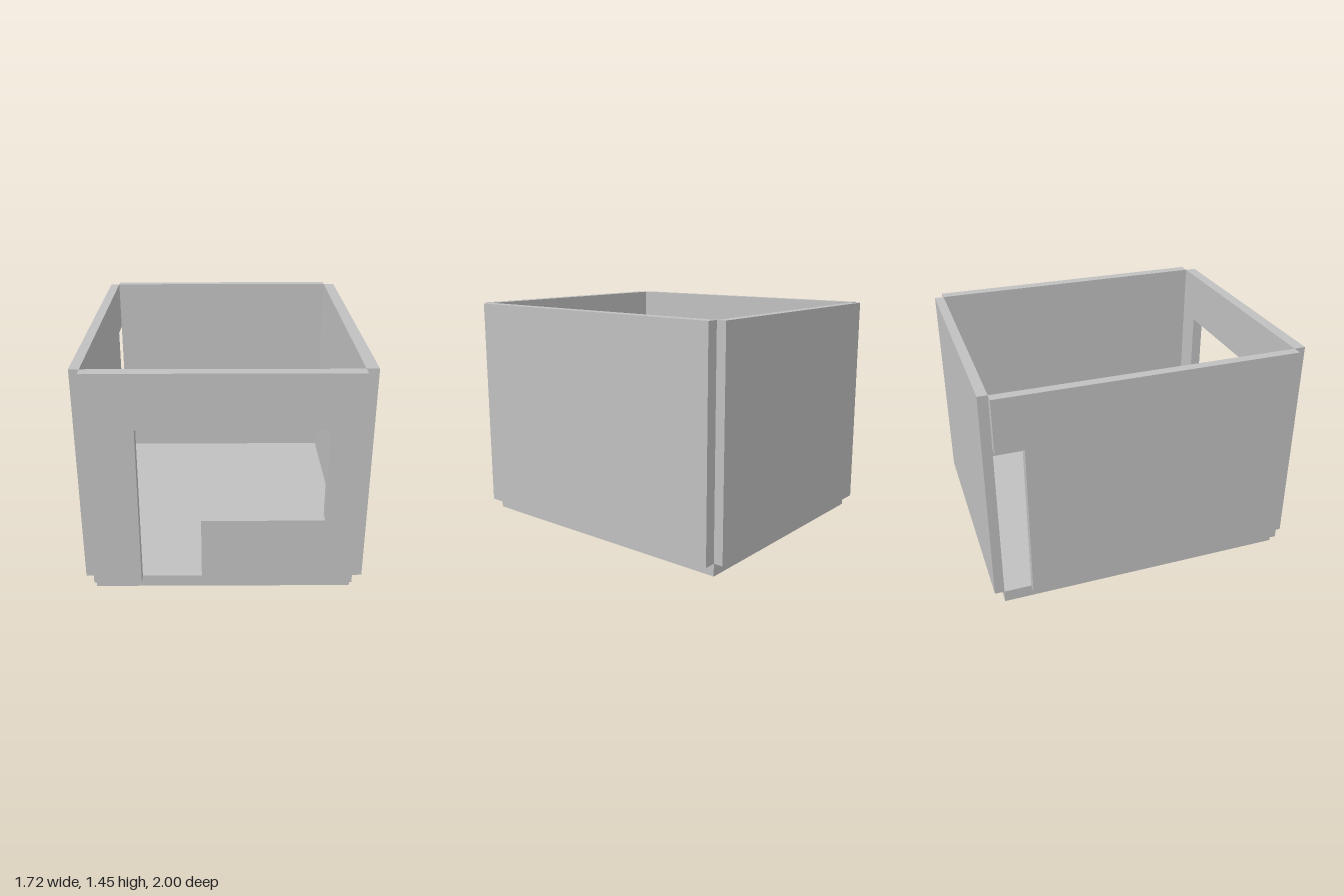
import * as THREE from 'three';

export function createModel() {
  const model = new THREE.Group();
  model.name = 'openRoom';
  const grey = new THREE.MeshStandardMaterial({ name: 'lightGrey', color: 0xc0c0c0 });

  // Floor and wall limits
  const x0 = -0.8, x1 = 0.784, z0 = -0.94, z1 = 0.928;
  const bottom = 0.078, top = 1.452, doorTop = 1.112;

  function box(name, ax, bx, ay, by, az, bz) {
    const mesh = new THREE.Mesh(new THREE.BoxGeometry(bx - ax, by - ay, bz - az), grey);
    mesh.position.set((ax + bx) / 2, (ay + by) / 2, (az + bz) / 2);
    mesh.name = name;
    model.add(mesh);
  }

  // Wall panel cut from an outline, extruded by its thickness
  function panel(name, outline, depth) {
    const shape = new THREE.Shape(outline.map(([x, y]) => new THREE.Vector2(x, y)));
    const mesh = new THREE.Mesh(
      new THREE.ExtrudeGeometry(shape, { depth, bevelEnabled: false }), grey);
    mesh.name = name;
    model.add(mesh);
    return mesh;
  }

  box('floor', x0, x1, 0, bottom, z0, z1);
  box('backWall', x0, x1, bottom, top, -1, z0);
  box('leftWall', x1, 0.858, bottom, top, z0, z1);

  // Front wall with a joined doorway and window
  const front = panel('frontWall', [
    [x0, bottom], [-0.508, bottom], [-0.508, doorTop], [0.598, doorTop],
    [0.598, 0.52], [-0.138, 0.52], [-0.138, bottom], [x1, bottom],
    [x1, top], [x0, top],
  ], 1 - z1);
  front.position.z = z1;

  // Right wall with a narrow opening at its back end
  const right = panel('rightWall', [
    [-0.77, bottom], [z1, bottom], [z1, top], [z0, top], [z0, doorTop], [-0.77, doorTop],
  ], 0.06);
  right.rotation.y = -Math.PI / 2;
  right.position.x = x0;

  return model;
}
